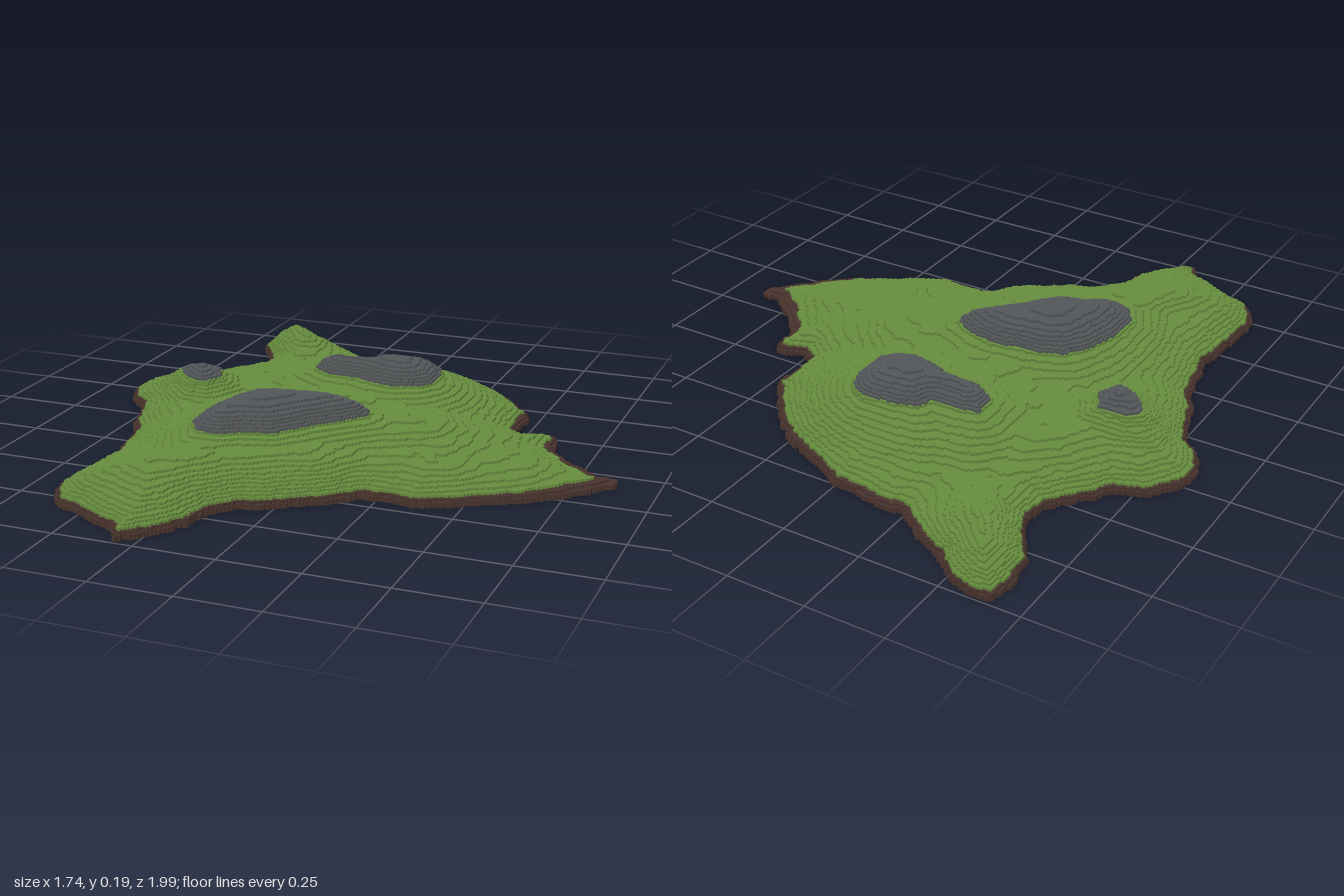
import * as THREE from 'three';

const S = 0.008;               // voxel size
const NX = 218, NZ = 250;      // voxel grid
const ROCK_LEVEL = 16, SOIL_LEVEL = 3; // layers where the colour changes

// Shoreline as x, z pairs
const SHORE = [
  -.655, -.985, -.59, -.995, -.51, -.965, -.44, -.9, -.35, -.86, -.285, -.81, -.24, -.775, -.18, -.785,
  -.1, -.765, 0, -.755, .11, -.7, .24, -.64, .34, -.555, .41, -.47, .465, -.4, .465, -.225, .51, -.2,
  .56, -.225, .61, -.22, .625, -.105, .675, -.05, .745, .01, .81, .06, .87, .065, .865, .11, .81, .175,
  .745, .24, .64, .32, .55, .365, .465, .42, .375, .46, .295, .45, .2, .455, .14, .52, .06, .57,
  -.02, .63, -.095, .655, -.15, .715, -.17, .82, -.22, .9, -.26, .945, -.31, .998, -.34, .935, -.42, .9,
  -.5, .85, -.575, .83, -.63, .755, -.645, .69, -.635, .555, -.62, .42, -.64, .315, -.665, .195,
  -.71, .13, -.735, .035, -.77, -.05, -.825, -.095, -.87, -.195, -.845, -.28, -.785, -.355, -.7, -.385,
  -.645, -.46, -.57, -.555, -.56, -.65, -.61, -.725, -.66, -.82, -.665, -.925];

// Rocky summits: outline and how fast the land falls away around them
const PEAKS = [
  { fall: 0.25, line: [-.255, -.38, -.19, -.395, -.1, -.395, -.085, -.45, 0, -.47, .085, -.485, .15, -.45, .175, -.385,
    .175, -.29, .14, -.24, .06, -.21, -.02, -.225, -.085, -.255, -.18, -.26, -.245, -.3] },
  { fall: 0.25, line: [-.31, .05, -.23, .02, -.075, 0, 0, .015, .085, .06, .085, .11, .02, .185, -.05, .265,
    -.115, .355, -.205, .375, -.26, .415, -.34, .415, -.39, .345, -.39, .24, -.36, .13] },
  { fall: 0.5, line: [-.7, -.16, -.635, -.19, -.53, -.175, -.5, -.105, -.53, -.035, -.58, -.025, -.645, -.06, -.69, -.095] },
];

// Spot heights of the grassland: x, z, height
const SPOTS = [
  [.55, .1, .065], [.75, .1, .045], [.35, -.3, .08], [.3, .3, .085], [.2, 0, .11], [-.1, -.1, .115],
  [-.45, 0, .095], [-.45, -.25, .1], [-.3, -.65, .07], [-.58, -.78, .125], [-.1, -.6, .075], [-.3, .6, .126],
  [-.3, .8, .1], [-.5, .5, .09], [0, .45, .115], [-.6, .15, .085], [.15, -.55, .08], [-.72, -.22, .09]];

// Distance to a closed outline, positive inside
function insideDistance(line, x, z) {
  let best = Infinity, inside = false;
  const n = line.length;
  for (let i = 0, j = n - 2; i < n; j = i, i += 2) {
    const ax = line[j], az = line[j + 1], bx = line[i], bz = line[i + 1];
    const dx = bx - ax, dz = bz - az;
    const t = THREE.MathUtils.clamp(((x - ax) * dx + (z - az) * dz) / (dx * dx + dz * dz), 0, 1);
    best = Math.min(best, Math.hypot(x - ax - t * dx, z - az - t * dz));
    if ((az > z) !== (bz > z) && x < ax + (z - az) * dx / dz) inside = !inside;
  }
  return inside ? best : -best;
}

// Smooth seeded noise, -1 to 1
function hash(i, j) {
  const s = Math.sin(i * 127.1 + j * 311.7) * 43758.5453;
  return (s - Math.floor(s)) * 2 - 1;
}
function noise(x, z) {
  const i = Math.floor(x), j = Math.floor(z), u = x - i, v = z - j;
  const a = u * u * (3 - 2 * u), b = v * v * (3 - 2 * v);
  return THREE.MathUtils.lerp(
    THREE.MathUtils.lerp(hash(i, j), hash(i + 1, j), a),
    THREE.MathUtils.lerp(hash(i, j + 1), hash(i + 1, j + 1), a), b);
}

// Column height in layers, 0 for sea
function columnHeight(x, z) {
  const d = insideDistance(SHORE, x, z) + 0.006 * noise(x * 45, z * 45);
  if (d <= 0) return 0;
  let sum = 0, weight = 0;
  for (const [sx, sz, h] of SPOTS) {
    const w = 1 / (Math.hypot(x - sx, z - sz) ** 3 + 0.0005);
    sum += w * h;
    weight += w;
  }
  let land = sum / weight + 0.004 * noise(x * 14, z * 14) + 0.002 * noise(x * 40, z * 40);
  land = Math.min(land, 0.126);
  for (const { fall, line } of PEAKS) {
    const p = insideDistance(line, x, z) + 0.005 * noise(x * 40 + 7, z * 40);
    if (p > 0) land = 0.133 + 0.063 * (1 - Math.exp(-p / 0.06));
    else land = Math.max(land, 0.127 + fall * p);
  }
  const h = 0.015 + (land - 0.015) * (1 - Math.exp(-d / 0.09));
  return Math.max(2, Math.round(h / S));
}

export function createModel() {
  const group = new THREE.Group();
  group.name = 'island';

  // Bands of colour from the bottom up
  const bands = [
    { name: 'soilBase', color: 0x4a342e, lo: 0, hi: SOIL_LEVEL },
    { name: 'grassland', color: 0x688f3f, lo: SOIL_LEVEL, hi: ROCK_LEVEL },
    { name: 'rockySummits', color: 0x55585a, lo: ROCK_LEVEL, hi: 99 },
  ].map((b) => ({ ...b, positions: [] }));
  const bandOf = (h) => bands.find((b) => h <= b.hi);

  const grid = [];
  for (let k = 0; k < NZ; k++) {
    for (let i = 0; i < NX; i++) {
      grid.push(columnHeight((i + 0.5 - NX / 2) * S, (k + 0.5 - NZ / 2) * S));
    }
  }
  const at = (i, k) => (i < 0 || k < 0 || i >= NX || k >= NZ ? 0 : grid[k * NX + i]);

  // Corners in grid units, counter-clockwise from outside
  const quad = (band, ...c) => {
    for (const n of [0, 1, 2, 0, 2, 3]) {
      band.positions.push((c[n][0] - NX / 2) * S, c[n][1] * S, (c[n][2] - NZ / 2) * S);
    }
  };

  // A wall from a lower neighbour up to this column, split by colour
  const wall = (ax, az, bx, bz, from, to) => {
    for (const band of bands) {
      const lo = Math.max(from, band.lo), hi = Math.min(to, band.hi);
      if (hi > lo) quad(band, [ax, lo, az], [bx, lo, bz], [bx, hi, bz], [ax, hi, az]);
    }
  };

  for (let k = 0; k < NZ; k++) {
    // Terrace tops and underside, in runs along x
    for (let i = 0; i < NX;) {
      const h = at(i, k);
      let e = i + 1;
      while (e < NX && at(e, k) === h) e++;
      if (h > 0) {
        quad(bandOf(h), [i, h, k + 1], [e, h, k + 1], [e, h, k], [i, h, k]);
        quad(bands[0], [i, 0, k], [e, 0, k], [e, 0, k + 1], [i, 0, k + 1]);
      }
      i = e;
    }
    // Terrace sides
    for (let i = 0; i < NX; i++) {
      const h = at(i, k);
      wall(i + 1, k + 1, i + 1, k, at(i + 1, k), h);
      wall(i, k, i, k + 1, at(i - 1, k), h);
      wall(i, k + 1, i + 1, k + 1, at(i, k + 1), h);
      wall(i + 1, k, i, k, at(i, k - 1), h);
    }
  }

  for (const { name, color, positions } of bands) {
    const geometry = new THREE.BufferGeometry();
    geometry.setAttribute('position', new THREE.Float32BufferAttribute(positions, 3));
    geometry.computeVertexNormals();
    const material = new THREE.MeshStandardMaterial({ color });
    material.name = { soilBase: 'soil brown', grassland: 'grass green', rockySummits: 'rock grey' }[name];
    const mesh = new THREE.Mesh(geometry, material);
    mesh.name = name;
    group.add(mesh);
  }
  return group;
}
